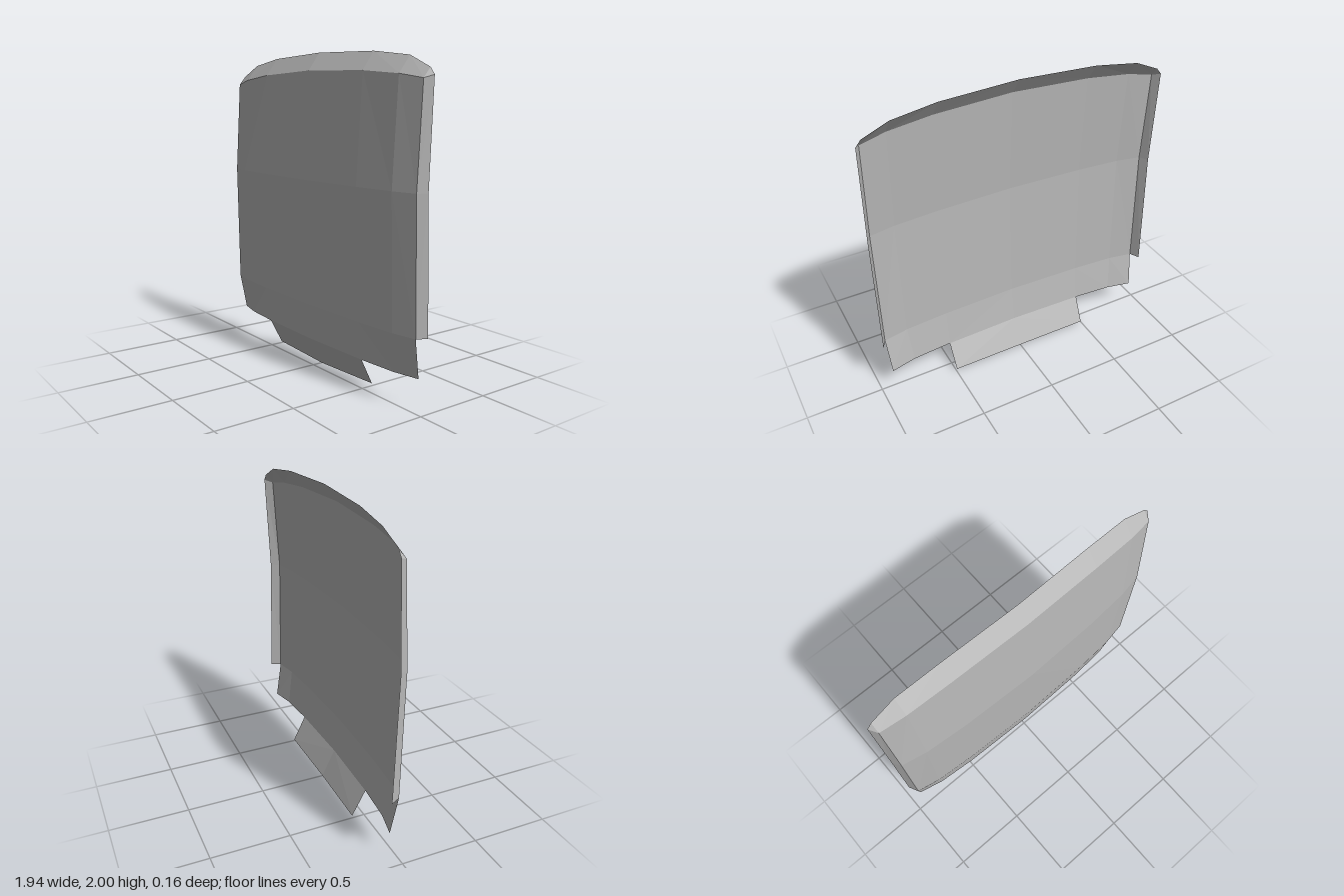
import * as THREE from 'three';

// Skin rows of points [x, y, z]; rows run bottom to top, points run -x to +x
function skin(name, rows, material) {
  const n = rows[0].length;
  const index = [];
  for (let r = 0; r < rows.length - 1; r++) {
    for (let c = 0; c < n - 1; c++) {
      const a = r * n + c, b = a + 1, d = a + n, e = d + 1;
      // mirror the diagonals about the centre line
      if (c < (n - 1) / 2) index.push(a, b, e, a, e, d);
      else index.push(a, b, d, b, e, d);
    }
  }
  const geometry = new THREE.BufferGeometry();
  geometry.setAttribute('position', new THREE.Float32BufferAttribute(rows.flat(2), 3));
  geometry.setIndex(index);
  geometry.computeVertexNormals();
  const mesh = new THREE.Mesh(geometry, material);
  mesh.name = name;
  return mesh;
}

// Complete a half row (centre first, going to +x) by mirroring
const mirrorRow = half => [...half.slice(1).reverse().map(([x, y, z]) => [-x, y, z]), ...half];

export function createModel() {
  const grey = new THREE.MeshStandardMaterial({ color: 0xb8b8b8, flatShading: true, side: THREE.DoubleSide });
  grey.name = 'panel grey';
  const model = new THREE.Group();
  model.name = 'curvedPanel';

  // Half rows of the bowed main panel
  const lower = [[0, 0.18, 0.02], [0.5, 0.18, 0.007], [0.76, 0.18, -0.013], [0.925, 0.18, -0.05]];
  const hem = [[0, 0.42, 0.055], [0.5, 0.42, 0.041], [0.78, 0.42, 0.022], [0.94, 0.42, -0.008]];
  const middle = [[0, 1.22, 0.078], [0.5, 1.22, 0.062], [0.78, 1.22, 0.04], [0.94, 1.22, 0.008]];
  const upper = [[0, 1.89, 0.035], [0.5, 1.875, 0.02], [0.78, 1.85, 0.002], [0.94, 1.823, -0.025]];
  const rim = [[0, 2, -0.045], [0.5, 1.985, -0.061], [0.78, 1.95, -0.076], [0.94, 1.88, -0.073]];

  model.add(skin('mainPanel', [lower, hem, middle, upper].map(mirrorRow), grey));

  // Top edge folded backwards
  model.add(skin('topFlange', [upper, rim].map(mirrorRow), grey));

  // Bent tongue under the bottom edge
  const tongueEnd = [[0, 0, -0.068], [0.495, 0.012, -0.08]];
  model.add(skin('bottomTongue', [tongueEnd, lower.slice(0, 2)].map(mirrorRow), grey));

  // Side edges folded backwards, closed by a small corner at the top
  const backEdge = [[0.972, 0.42, -0.07], [0.972, 1.22, -0.048], [0.972, 1.84, -0.073], rim[3]];
  const frontEdge = [hem[3], middle[3], upper[3], upper[3]];
  for (const side of [1, -1]) {
    const rows = backEdge.map((back, i) => {
      const pair = [frontEdge[i], back].map(([x, y, z]) => [side * x, y, z]);
      return side > 0 ? pair : pair.reverse();
    });
    model.add(skin(side > 0 ? 'leftFlange' : 'rightFlange', rows, grey));
  }
  return model;
}
